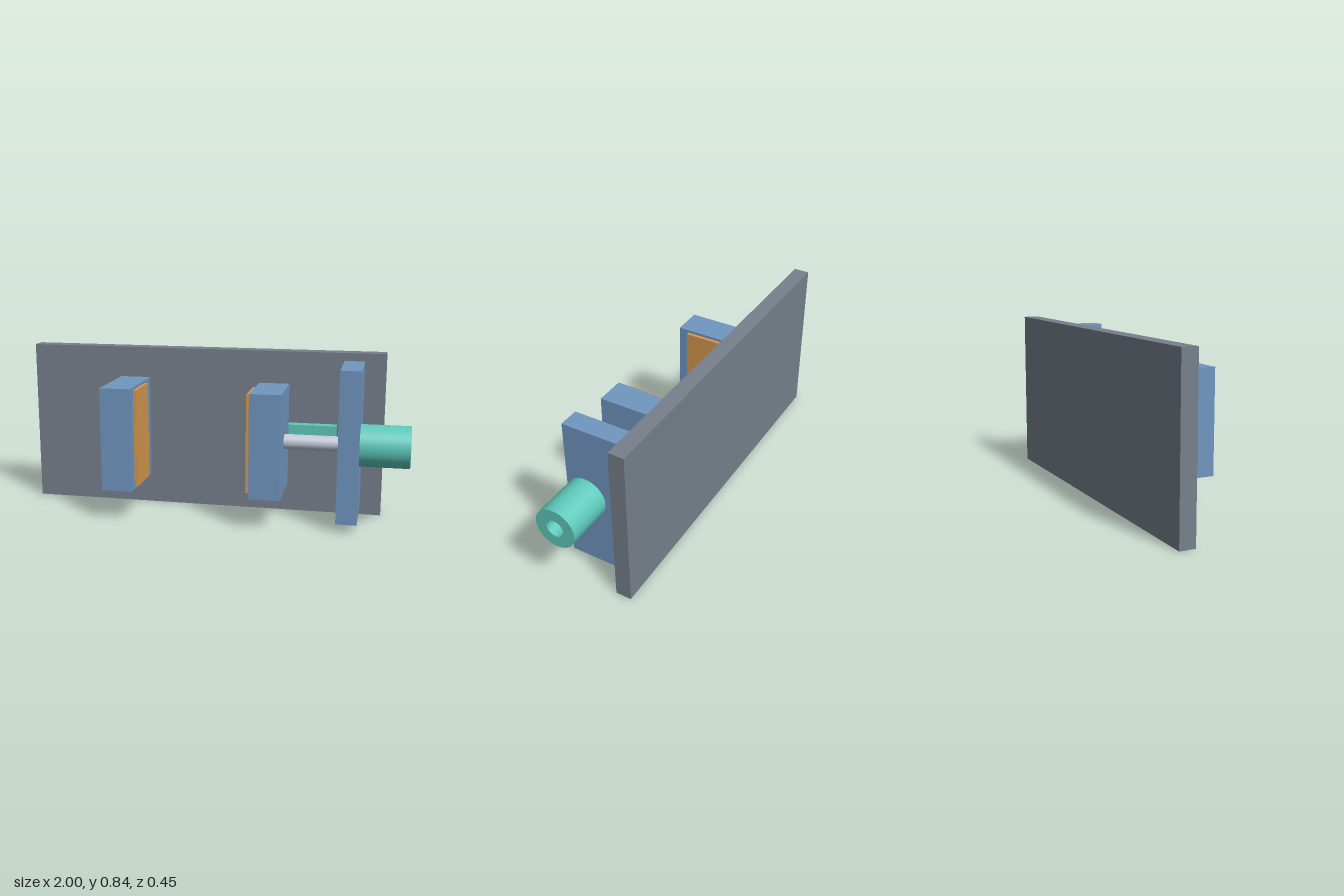
import * as THREE from 'three';

const mat = (name, color) => {
  const m = new THREE.MeshStandardMaterial({ color });
  m.name = name;
  return m;
};

export function createModel() {
  const slate = mat('slate grey', 0x76808c);
  const blue = mat('steel blue', 0x7096c0);
  const teal = mat('teal', 0x5ecabc);
  const orange = mat('orange', 0xd6994f);
  const silver = mat('silver', 0xc2cad6);

  const group = new THREE.Group();
  const axisY = 0.422, axisZ = 0.066; // centre line of the screw
  const boreRadius = 0.045;

  const add = (name, geometry, material) => {
    const mesh = new THREE.Mesh(geometry, material);
    mesh.name = name;
    group.add(mesh);
    return mesh;
  };
  // Box given by its limits on each axis
  const box = (name, material, [x0, x1], [y0, y1], [z0, z1]) =>
    add(name, new THREE.BoxGeometry(x1 - x0, y1 - y0, z1 - z0), material)
      .position.set((x0 + x1) / 2, (y0 + y1) / 2, (z0 + z1) / 2);
  // Outline with a round bore, extruded along +x from x0; shape x runs along -z
  const bored = (name, material, shape, x0, x1) => {
    shape.holes.push(new THREE.Path().absarc(0, 0, boreRadius, 0, Math.PI * 2, true));
    const g = new THREE.ExtrudeGeometry(shape, { depth: x1 - x0, bevelEnabled: false, curveSegments: 32 });
    g.rotateY(Math.PI / 2);
    add(name, g, material).position.set(x0, axisY, axisZ);
  };

  // Base plate and guide rail
  box('basePlate', slate, [-1, 0.865], [0, 0.843], [-0.225, -0.145]);
  box('guideRail', teal, [0.207, 0.627], [0.373, 0.473], [-0.145, -0.093]);

  // Jaws with their pads
  const jawY = [0.16, 0.685], padY = [0.174, 0.671], padZ = [-0.04, 0.17];
  box('fixedJaw', blue, [-0.52, -0.363], jawY, [-0.145, 0.225]);
  box('fixedJawPad', orange, [-0.363, -0.345], padY, padZ);
  box('movingJaw', blue, [0.23, 0.385], jawY, [-0.093, 0.225]);
  box('movingJawPad', orange, [0.207, 0.23], padY, padZ);

  // Screw running from the moving jaw through the end plate
  const rod = new THREE.CylinderGeometry(0.038, 0.038, 0.375, 48);
  rod.rotateZ(Math.PI / 2);
  add('screwRod', rod, silver).position.set(0.5725, axisY, axisZ);

  // End plate with clearance hole
  const [front, back, bottom, top] = [-0.104, axisZ + 0.145, 0.042 - axisY, 0.803 - axisY];
  bored('endPlate', blue, new THREE.Shape([
    new THREE.Vector2(front, bottom), new THREE.Vector2(back, bottom),
    new THREE.Vector2(back, top), new THREE.Vector2(front, top),
  ]), 0.655, 0.758);

  // Hollow drive collar, smooth walls with sharp rims
  const r = 0.104, x0 = 0.758, x1 = 1;
  const ring = [[boreRadius, x0], [r, x0], [r, x1], [boreRadius, x1], [boreRadius, x0]];
  const collar = new THREE.Group();
  collar.name = 'driveCollar';
  for (let i = 0; i < 4; i++) {
    const g = new THREE.LatheGeometry([ring[i], ring[i + 1]].map(p => new THREE.Vector2(...p)), 48);
    g.rotateZ(-Math.PI / 2);
    const face = new THREE.Mesh(g, teal);
    face.name = ['collarInnerFace', 'collarWall', 'collarOuterFace', 'collarBore'][i];
    collar.add(face);
  }
  collar.position.set(0, axisY, axisZ);
  group.add(collar);

  return group;
}
